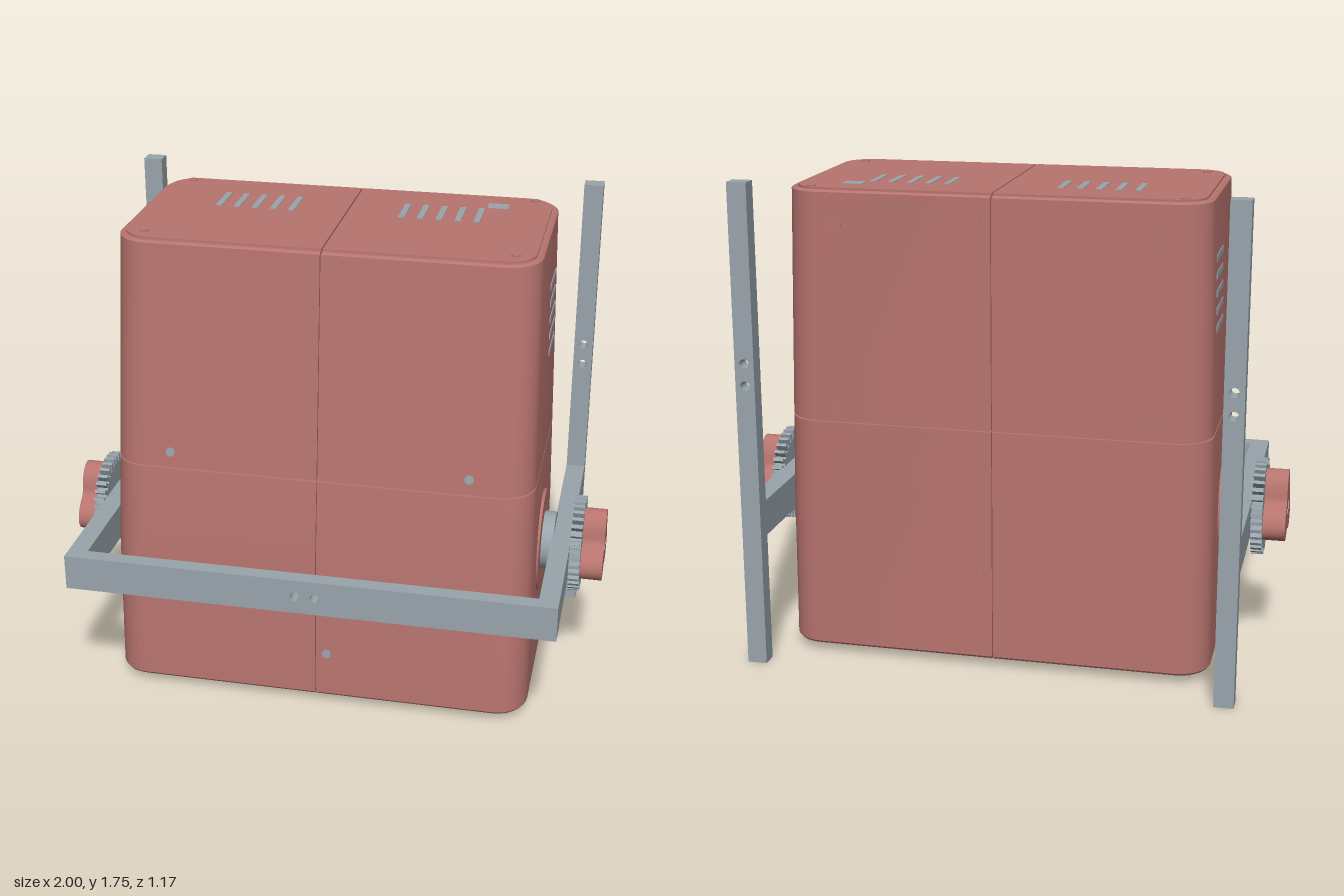
import * as THREE from 'three';
import { toCreasedNormals } from 'three/addons/utils/BufferGeometryUtils.js';

const red = new THREE.MeshStandardMaterial({ color: 0xb8746f });
red.name = 'dusty red';
const gray = new THREE.MeshStandardMaterial({ color: 0x99a5ac });
gray.name = 'steel gray';

const BACK = -0.45, PIVOT_Y = 0.54, PIVOT_Z = -0.015;
// Housing profile: height, half width, front z
const PROFILE = [[0.035, 0.77, 0.42], [0.6, 0.765, 0.402], [0.89, 0.757, 0.373], [1.715, 0.735, 0.3]];

function at(y) {
  let i = 0;
  while (i < PROFILE.length - 2 && y > PROFILE[i + 1][0]) i++;
  const a = PROFILE[i], b = PROFILE[i + 1], t = (y - a[0]) / (b[0] - a[0]);
  return { hw: a[1] + (b[1] - a[1]) * t, zf: a[2] + (b[2] - a[2]) * t };
}

// Rounded rectangle at height y; side 1 or -1 gives only that half, 0 the whole
function section(y, inset, side) {
  const { hw, zf } = at(y), r = 0.12 - inset, gap = 0.0025, pts = [];
  const w = hw - inset, f = zf - inset, b = BACK + inset;
  const corner = (q) => {
    const sx = q === 0 || q === 3 ? 1 : -1, sz = q < 2 ? 1 : -1;
    for (let i = 0; i <= 8; i++) {
      const t = (q + i / 8) * Math.PI / 2;
      pts.push([sx * (w - r) + r * Math.cos(t), y, (sz > 0 ? f - r : b + r) + r * Math.sin(t)]);
    }
  };
  if (side > 0) pts.push([gap, y, b]);
  if (side < 0) pts.push([-gap, y, f]);
  (side > 0 ? [3, 0] : side < 0 ? [1, 2] : [0, 1, 2, 3]).forEach(corner);
  if (side > 0) pts.push([gap, y, f]);
  if (side < 0) pts.push([-gap, y, b]);
  return pts;
}

// Closed skin through [y, inset] levels
function loft(levels, side) {
  const rings = levels.map(([y, inset]) => section(y, inset, side));
  const n = rings[0].length, pos = rings.flat(2), idx = [];
  for (let k = 0; k < rings.length - 1; k++) {
    for (let i = 0; i < n; i++) {
      const a = k * n + i, b = k * n + (i + 1) % n;
      idx.push(a, a + n, b, b, a + n, b + n);
    }
  }
  const last = (rings.length - 1) * n, c = rings.length * n;
  for (const ring of [rings[0], rings[rings.length - 1]]) {
    pos.push(side * 0.3, ring[0][1], 0);
  }
  for (let i = 0; i < n; i++) {
    const j = (i + 1) % n;
    idx.push(c, i, j, c + 1, last + j, last + i);
  }
  const g = new THREE.BufferGeometry();
  g.setAttribute('position', new THREE.Float32BufferAttribute(pos, 3));
  g.setIndex(idx);
  return toCreasedNormals(g, 0.5);
}

function add(parent, name, geometry, material, x = 0, y = 0, z = 0) {
  const m = new THREE.Mesh(geometry, material);
  m.name = name;
  m.position.set(x, y, z);
  parent.add(m);
  return m;
}

const box = (x, y, z) => new THREE.BoxGeometry(x, y, z);

// Bar facing z with round holes, starting at z = 0
function drilledBar(w, h, depth, holes) {
  const s = new THREE.Shape();
  s.moveTo(-w / 2, -h / 2).lineTo(w / 2, -h / 2).lineTo(w / 2, h / 2).lineTo(-w / 2, h / 2).closePath();
  for (const [x, y] of holes) s.holes.push(new THREE.Path().absarc(x, y, 0.017, 0, Math.PI * 2, true));
  return new THREE.ExtrudeGeometry(s, { depth, bevelEnabled: false, curveSegments: 12 });
}

// Disc whose axis runs along x
function disc(r, x0, x1, sides = 40) {
  return new THREE.CylinderGeometry(r, r, x1 - x0, sides).rotateZ(-Math.PI / 2).translate((x0 + x1) / 2, 0, 0);
}

// Flat outline extruded along x
function plateX(points, x0, x1, hole) {
  const s = new THREE.Shape(points);
  if (hole) s.holes.push(new THREE.Path().absarc(0, 0, hole, 0, Math.PI * 2, true));
  const g = new THREE.ExtrudeGeometry(s, { depth: x1 - x0, bevelEnabled: false, curveSegments: 12 });
  return g.rotateY(Math.PI / 2).translate(x0, 0, 0);
}

const polar = (r, t) => new THREE.Vector2(r * Math.sin(t), r * Math.cos(t));

// Clamp with shaft, toothed washer and three-lobed knob, pointing to +x
function makeClamp() {
  const g = new THREE.Group();
  g.name = 'tiltClamp';
  add(g, 'pivotBoss', disc(0.19, 0.73, 0.772), red);
  add(g, 'shaft', disc(0.107, 0.76, 0.815), gray);
  const teeth = [], N = 36;
  for (let i = 0; i < N; i++) {
    [[0, 0.148], [0.42, 0.148], [0.5, 0.176], [0.92, 0.176]].forEach(([o, r]) =>
      teeth.push(polar(r, (i + o) / N * Math.PI * 2)));
  }
  add(g, 'toothedWasher', plateX(teeth, 0.88, 0.92), gray);
  const lobes = [];
  for (let i = 0; i < 72; i++) {
    const t = i / 72 * Math.PI * 2;
    lobes.push(polar(0.113 + 0.031 * Math.cos(3 * t), t));
  }
  add(g, 'knob', toCreasedNormals(plateX(lobes, 0.92, 1.0, 0.028), 0.6), red);
  add(g, 'nut', disc(0.028, 0.92, 0.997, 6), gray);
  add(g, 'boltEnd', disc(0.014, 0.99, 0.999, 16), red);
  return g;
}

export function createModel() {
  const model = new THREE.Group();

  // Housing: quarter shells around a core that closes the seams
  const housing = new THREE.Group();
  housing.name = 'housing';
  model.add(housing);
  add(housing, 'core', loft([[0.05, 0.012], [0.6, 0.012], [0.89, 0.012], [1.7, 0.012]], 0), red);
  for (const s of [1, -1]) {
    add(housing, 'lowerShell', loft([[0.036, 0.006], [0.044, 0], [0.6, 0], [0.887, 0]], s), red);
    add(housing, 'upperShell', loft([[0.893, 0], [1.704, 0], [1.71, 0.008]], s), red);
    add(housing, 'topLid', loft([[1.7, 0.022], [1.717, 0.022]], s), red);
  }

  // Vents, port and screws
  for (const s of [1, -1]) {
    for (let i = 0; i < 5; i++) {
      const y = 1.255 + i * 0.061;
      const vent = add(housing, 'sideVent', box(0.006, 0.022, 0.19), gray, s * at(y).hw, y, -0.185);
      vent.rotation.z = s * 0.027;
      add(housing, 'topVent', box(0.022, 0.006, 0.16), gray, s * (0.2 + i * 0.067), 1.716, -0.19);
    }
    for (const z of [-0.4, 0.21]) {
      add(housing, 'lidScrew', new THREE.CylinderGeometry(0.016, 0.016, 0.008, 16), red, s * 0.645, 1.717, z);
    }
  }
  add(housing, 'topPort', box(0.075, 0.006, 0.055), gray, 0.522, 1.716, -0.308);
  const screw = (r) => new THREE.CylinderGeometry(r, r, 0.006, 16).rotateX(Math.PI / 2);
  for (const [x, y] of [[0.535, 0.95], [-0.535, 0.95], [0.04, 0.21]]) {
    add(housing, 'frontScrew', screw(0.017), gray, x, y, at(y).zf).rotation.x = y > 0.8 ? -0.088 : -0.03;
  }
  for (const [x, y, r] of [[0.55, 1.59, 0.024], [-0.55, 1.59, 0.024], [0.05, 1.63, 0.017],
    [0.56, 0.95, 0.017], [-0.56, 0.95, 0.017], [0.05, 0.36, 0.017]]) {
    add(housing, 'backScrew', screw(r), red, x, y, BACK);
  }

  // Underside: pads around a framed panel
  for (const s of [1, -1]) {
    add(housing, 'longPad', box(1.42, 0.009, 0.075), gray, 0, 0.0345, -0.015 + s * 0.375);
    add(housing, 'sidePad', box(0.04, 0.009, 0.57), gray, s * 0.72, 0.0345, -0.015);
  }
  add(housing, 'panelFrame', box(1.32, 0.009, 0.6), red, 0, 0.038, -0.015);
  add(housing, 'bottomPanel', box(1.25, 0.009, 0.53), gray, 0, 0.0355, -0.015);

  // Bracket: front bar, arms and upright posts
  const bracket = new THREE.Group();
  bracket.name = 'bracket';
  model.add(bracket);
  add(bracket, 'frontBar', drilledBar(1.76, 0.13, 0.055, [[0.035, 0], [-0.035, 0]]), gray, 0, PIVOT_Y, 0.53);
  for (const s of [1, -1]) {
    add(bracket, 'sideArm', box(0.07, 0.13, 1.06), gray, s * 0.845, PIVOT_Y, 0);
    add(bracket, 'post', drilledBar(0.07, 1.75, 0.06, [[0, 0.165], [0, 0.245]]), gray, s * 0.845, 0.875, -0.59);
    const clamp = makeClamp();
    clamp.position.set(0, PIVOT_Y, PIVOT_Z);
    if (s < 0) clamp.rotation.y = Math.PI;
    model.add(clamp);
  }
  return model;
}
